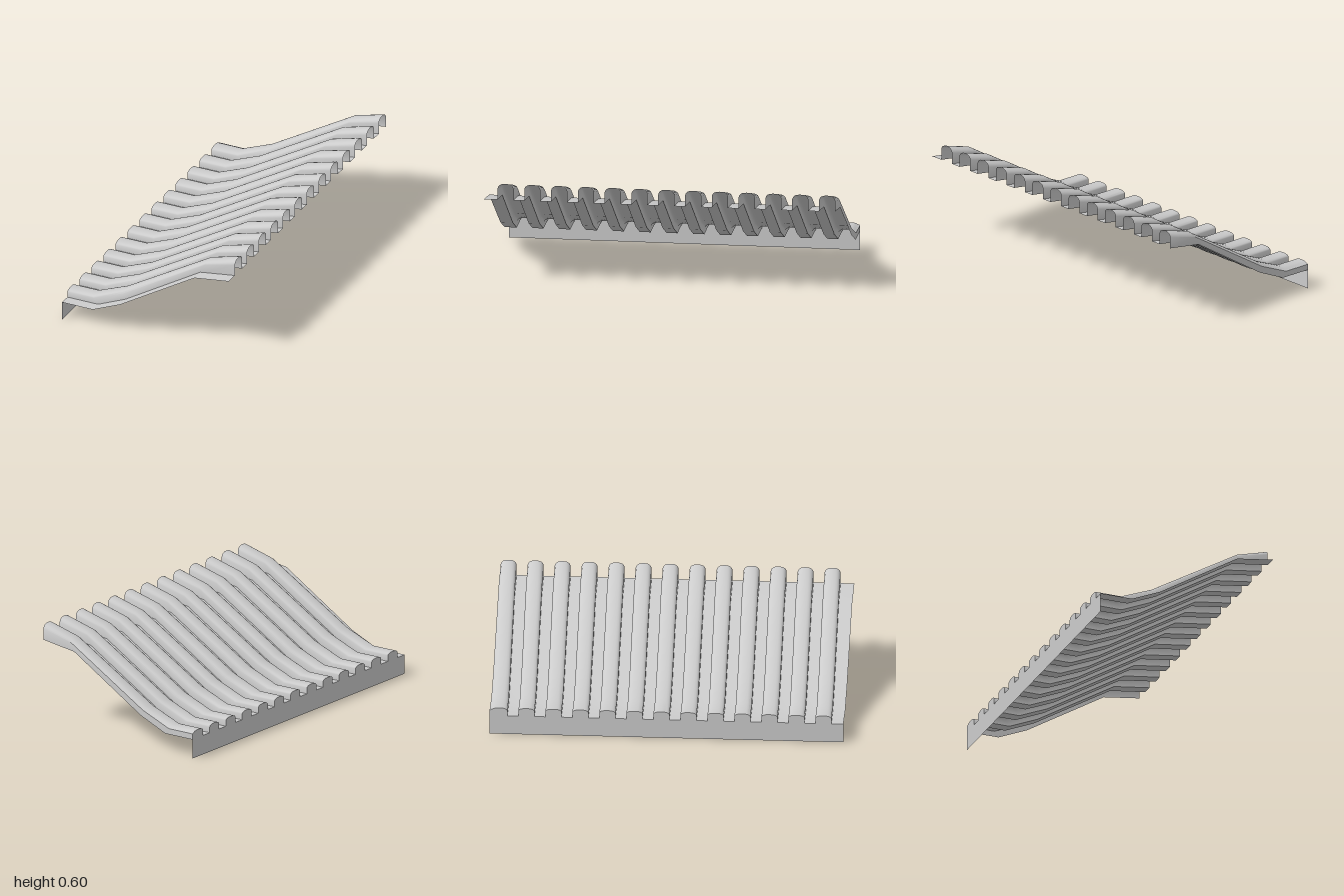
import * as THREE from 'three';
import { toCreasedNormals } from 'three/addons/utils/BufferGeometryUtils.js';

const RIDGES = 13, PITCH = 0.1527, WIDTH = 0.09, SKEW = 0.01, HALF = 0.525;

// Slope of the sheet: [x of valley, y of valley, x of crest, y of crest]
const STATIONS = [
  [-HALF, 0.112, -HALF, 0.16],
  [-0.333, 0.112, -0.37, 0.16],
  [-0.16, 0.187, -0.182, 0.235],
  [0.308, 0.475, 0.345, 0.549],
  [HALF, 0.506, HALF, 0.6],
];

// One ridge: [fraction of width, fraction of height]
const ARCH = [[0, 0], [0, 0.7], [0.05, 0.83], [0.14, 0.92], [0.28, 0.98], [0.5, 1],
  [0.72, 0.98], [0.86, 0.92], [0.95, 0.83], [1, 0.7], [1, 0]];

// Whole corrugation across z: [z, height fraction]
function corrugation() {
  const points = [];
  for (let i = 0; i < RIDGES; i++) {
    for (const [u, h] of ARCH) points.push([-1 + i * PITCH + u * WIDTH, h]);
  }
  points.push([1, 0]);
  return points;
}

// Point on the sheet; ridges drift slightly in z towards the low end
function sheetPoint([vx, vy, cx, cy], [z, h]) {
  const x = THREE.MathUtils.lerp(vx, cx, h);
  const fixed = z === -1 || z === 1;
  const drift = fixed ? 0 : SKEW * (HALF - x) / (2 * HALF);
  return [x, THREE.MathUtils.lerp(vy, cy, h), z + drift];
}

export function createModel() {
  const group = new THREE.Group();
  group.name = 'corrugatedRoof';
  const material = new THREE.MeshStandardMaterial({ color: 0xcccccc, side: THREE.DoubleSide });
  const section = corrugation();
  const n = section.length;

  // Corrugated sheet lofted along the slope
  const positions = [], index = [];
  STATIONS.forEach((station, s) => {
    section.forEach((p, j) => {
      positions.push(...sheetPoint(station, p));
      if (s < STATIONS.length - 1 && j < n - 1) {
        const a = s * n + j, b = a + 1, c = a + n, d = c + 1;
        index.push(a, b, c, b, d, c);
      }
    });
  });
  const sheetGeometry = new THREE.BufferGeometry();
  sheetGeometry.setAttribute('position', new THREE.Float32BufferAttribute(positions, 3));
  sheetGeometry.setIndex(index);
  const sheet = new THREE.Mesh(toCreasedNormals(sheetGeometry, 0.7), material);
  sheet.name = 'corrugatedSheet';
  group.add(sheet);

  // Flat board closing the low end, scalloped to fit the ridges
  const outline = section.map((p) => {
    const [, y, z] = sheetPoint(STATIONS[0], p);
    return new THREE.Vector2(-z, y);
  });
  outline.push(new THREE.Vector2(-1, 0), new THREE.Vector2(1, 0));
  const fascia = new THREE.Mesh(new THREE.ShapeGeometry(new THREE.Shape(outline)), material);
  fascia.name = 'fasciaBoard';
  fascia.rotation.y = Math.PI / 2;
  fascia.position.x = -HALF;
  group.add(fascia);

  return group;
}
